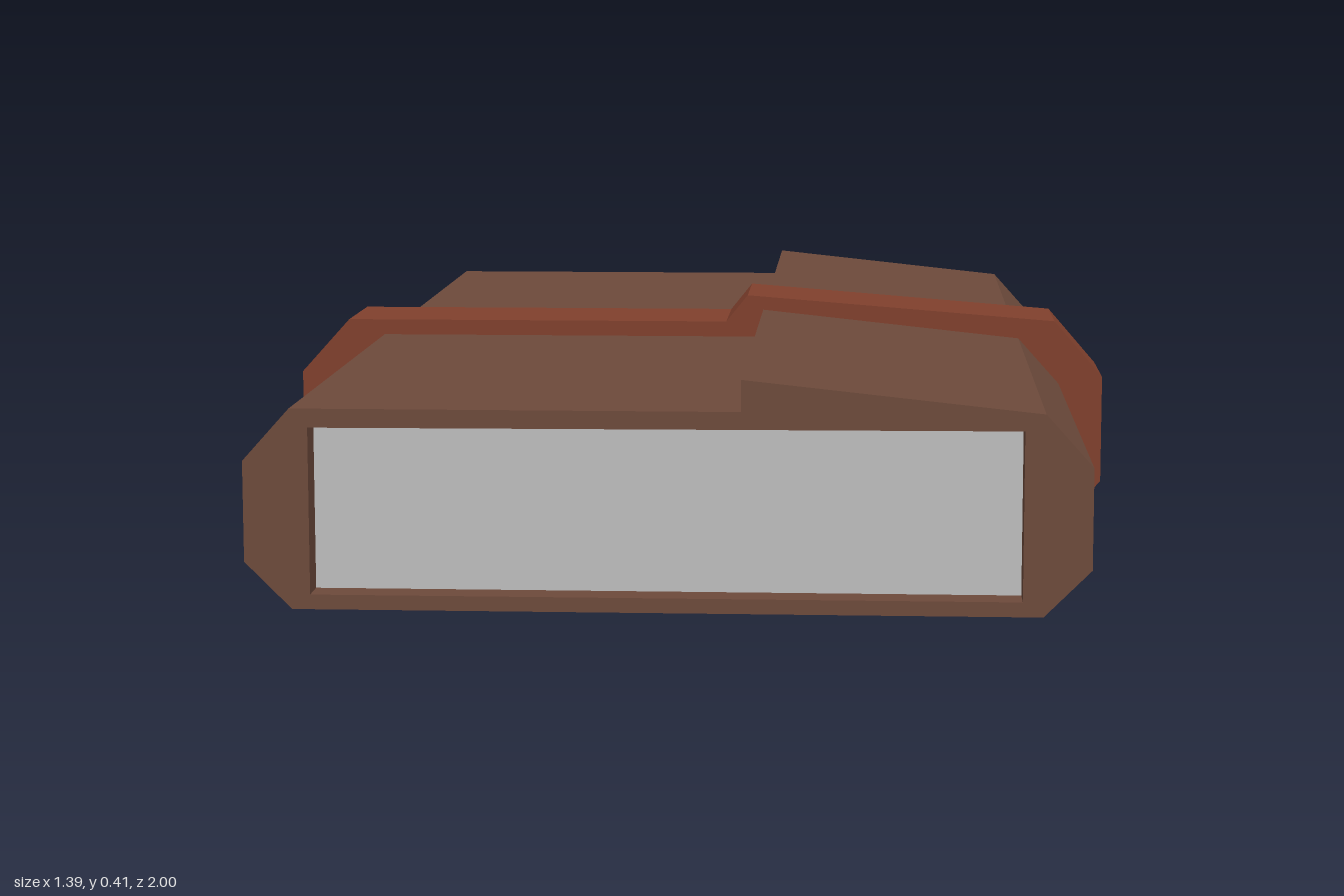
import * as THREE from 'three';

const coverMat = new THREE.MeshStandardMaterial({ color: 0x6d4a3b, name: 'brown leather' });
const strapMat = new THREE.MeshStandardMaterial({ color: 0x80402d, name: 'red leather' });
const paperMat = new THREE.MeshStandardMaterial({ color: 0xbdbdbd, name: 'paper grey' });

const toPoints = (list) => list.map(([x, y]) => new THREE.Vector2(x, y));

// Cross-section with an opening, extruded along z and centred on z = 0
function sleeve(name, outline, opening, depth, material) {
  const shape = new THREE.Shape(toPoints(outline));
  shape.holes.push(new THREE.Path(toPoints(opening)));
  const geometry = new THREE.ExtrudeGeometry(shape, { depth, bevelEnabled: false });
  geometry.translate(0, 0, -depth / 2);
  const mesh = new THREE.Mesh(geometry, material);
  mesh.name = name;
  return mesh;
}

export function createModel() {
  const group = new THREE.Group();
  group.name = 'strappedJournal';

  // Leather cover with its overlapping flap on top
  const coverOutline = [
    [-0.62, 0.115], [-0.55, 0.045], [0.55, 0.045], [0.62, 0.115], [0.62, 0.265],
    [0.55, 0.343], [0.11, 0.39], [0.11, 0.343], [-0.55, 0.343], [-0.62, 0.265],
  ];
  const coverOpening = [[-0.523, 0.067], [-0.523, 0.315], [0.52, 0.318], [0.52, 0.067]];
  group.add(sleeve('cover', coverOutline, coverOpening, 2, coverMat));

  // Strap wrapped around the middle, following the flap
  const strapOutline = [
    [-0.695, 0.095], [-0.612, 0], [0.612, 0], [0.695, 0.095], [0.695, 0.277],
    [0.612, 0.373], [0.083, 0.415], [0.046, 0.369], [-0.612, 0.369], [-0.695, 0.277],
  ];
  group.add(sleeve('strap', strapOutline, coverOutline, 0.195, strapMat));

  // Page block, set back a little from both ends of the cover
  const pages = new THREE.Mesh(new THREE.BoxGeometry(1.044, 0.252, 1.9), paperMat);
  pages.name = 'pages';
  pages.position.set(-0.0015, 0.192, 0);
  group.add(pages);

  return group;
}
